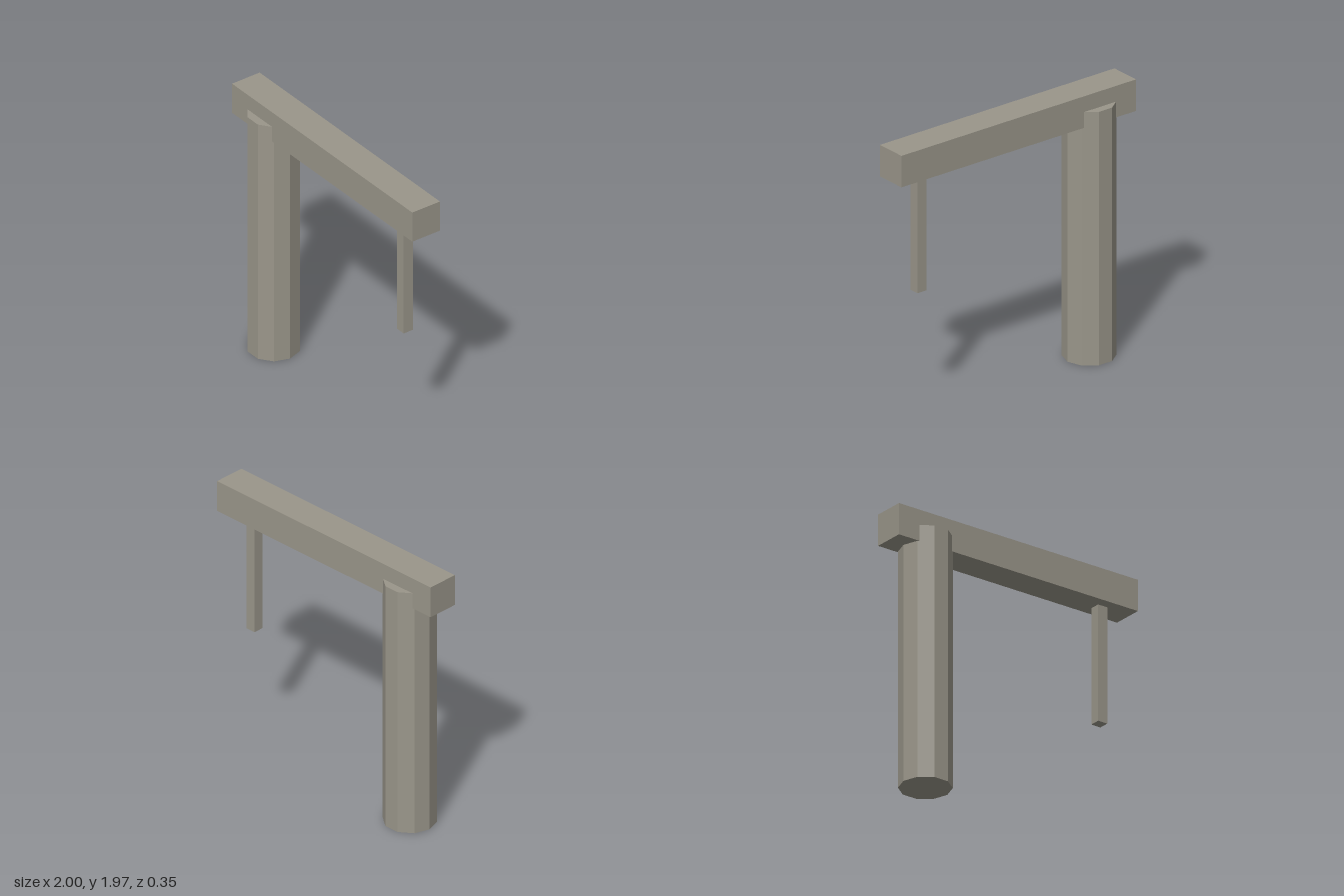
import * as THREE from 'three';

export function createModel() {
  const model = new THREE.Group();
  const stone = new THREE.MeshStandardMaterial({ color: 0x9a968a, flatShading: true });
  stone.name = 'greyStone';

  const add = (name, geometry, x, y) => {
    const mesh = new THREE.Mesh(geometry, stone);
    mesh.name = name;
    mesh.position.set(x, y, 0);
    model.add(mesh);
  };

  // Ten-sided column, with corners pointing along x
  add('column', new THREE.CylinderGeometry(0.183, 0.183, 1.85, 10, 1, false, Math.PI / 10), -0.692, 0.925);

  // Long beam let into the top of the column
  add('beam', new THREE.BoxGeometry(2, 0.23, 0.23), 0, 1.85);

  // Thin square post hanging under the free end
  add('hangingPost', new THREE.BoxGeometry(0.076, 0.87, 0.076), 0.764, 1.315);

  return model;
}
